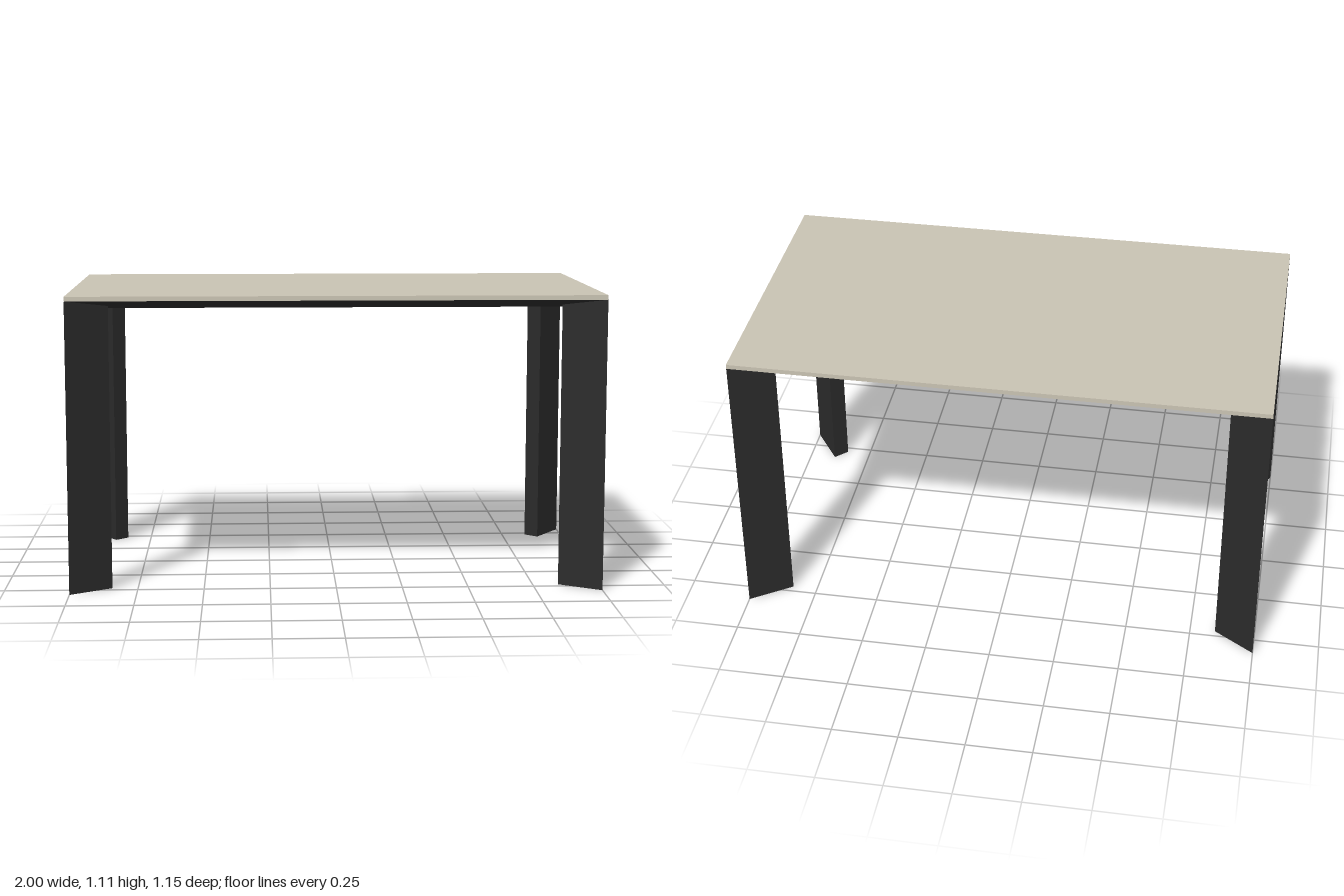
import * as THREE from 'three';

const HX = 1, HZ = 0.577;         // half length and half depth of the top
const TOP = 1.113, UNDER = 1.096; // tabletop slab
const INSET = 0.153, LOW = 1.058; // apron inset and its lowest edge

const cream = new THREE.MeshStandardMaterial({ color: 0xc9c3b3 });
cream.name = 'warm cream';
const black = new THREE.MeshStandardMaterial({ color: 0x2b2b2b });
black.name = 'matt black';

function add(group, name, geometry, material, x = 0, y = 0, z = 0) {
  const mesh = new THREE.Mesh(geometry, material);
  mesh.name = name;
  mesh.position.set(x, y, z);
  group.add(mesh);
}

// Mitred rectangular frame swept from a closed profile of [inset, height]
function frameGeometry(profile) {
  const corners = [[1, 1], [1, -1], [-1, -1], [-1, 1]];
  const at = (i, k) => {
    const [inset, y] = profile[i % profile.length];
    const [sx, sz] = corners[k % 4];
    return [sx * (HX - inset), y, sz * (HZ - inset)];
  };
  const positions = [];
  for (let k = 0; k < 4; k++) {
    for (let i = 0; i < profile.length; i++) {
      const a = at(i, k), b = at(i, k + 1), c = at(i + 1, k + 1), d = at(i + 1, k);
      positions.push(...a, ...d, ...c, ...a, ...c, ...b);
    }
  }
  const geometry = new THREE.BufferGeometry();
  geometry.setAttribute('position', new THREE.Float32BufferAttribute(positions, 3));
  geometry.computeVertexNormals();
  return geometry;
}

// Wedge leg: sharp edge at the table corner, narrow flat face towards the middle
function legGeometry(sx, sz) {
  const face = 0.048;
  const shape = new THREE.Shape([
    [HX, HZ],
    [HX - INSET, HZ - INSET + face],
    [HX - INSET + face, HZ - INSET],
  ].map(([x, z]) => new THREE.Vector2(sx * x, -sz * z)));
  const geometry = new THREE.ExtrudeGeometry(shape, { depth: UNDER - 0.001, bevelEnabled: false });
  return geometry.rotateX(-Math.PI / 2);
}

export function createModel() {
  const table = new THREE.Group();
  table.name = 'table';

  add(table, 'tabletop', new THREE.BoxGeometry(2 * HX, TOP - UNDER, 2 * HZ), cream, 0, (TOP + UNDER) / 2, 0);

  // Apron with a sloping underside that rises to the table edge
  add(table, 'apron', frameGeometry([[0, UNDER], [INSET, LOW], [INSET, UNDER]]), black);

  // Cross brace under the middle of the top
  add(table, 'crossBrace', new THREE.BoxGeometry(0.03, 0.022, 2 * (HZ - INSET)), black, 0, UNDER - 0.011, 0);

  for (const [end, sz] of [['front', 1], ['back', -1]]) {
    for (const [side, sx] of [['Left', 1], ['Right', -1]]) {
      add(table, `${end}${side}Leg`, legGeometry(sx, sz), black);
    }
  }
  return table;
}
